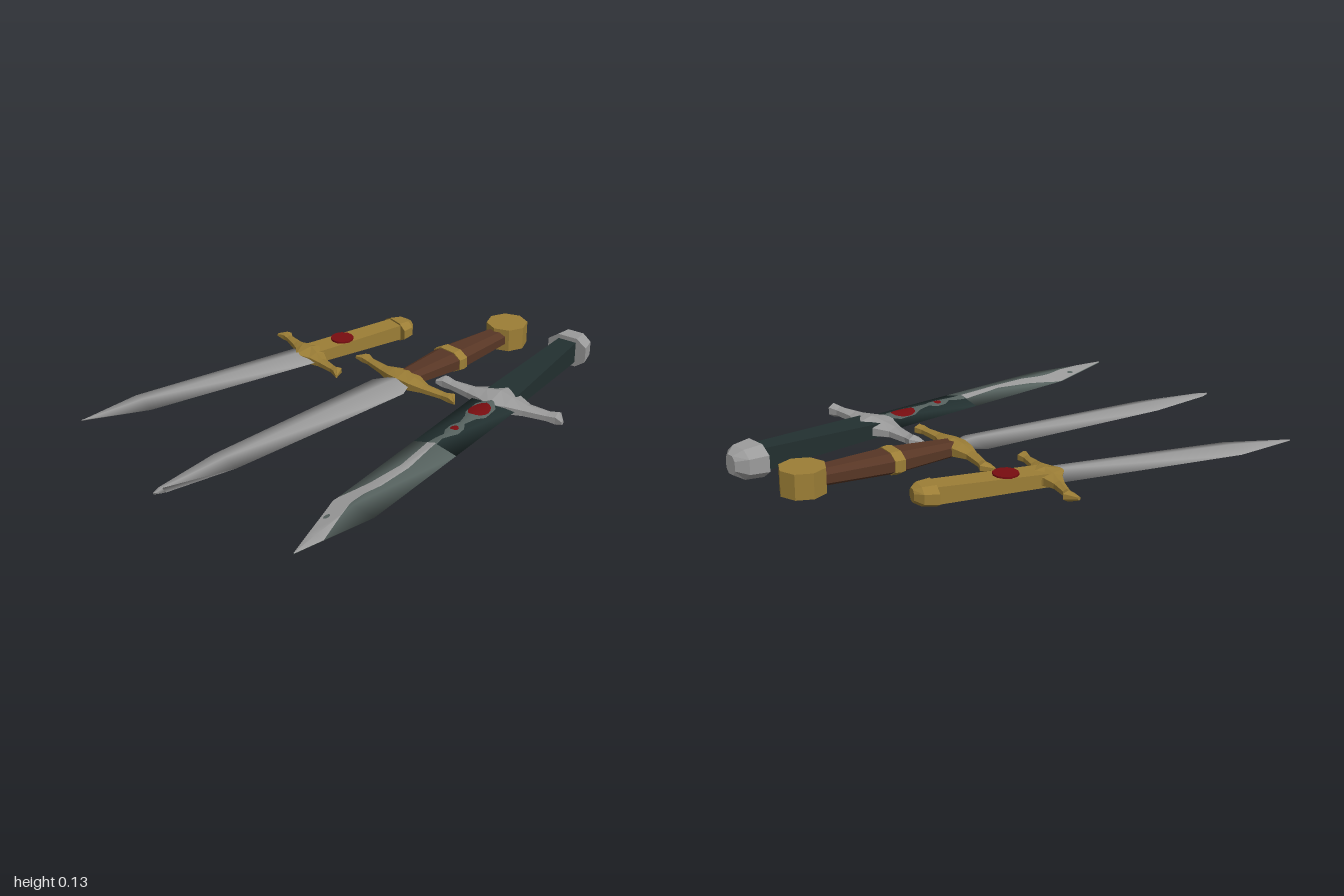
import * as THREE from 'three';

const paint = (name, color) => {
  const m = new THREE.MeshStandardMaterial({ color });
  m.name = name;
  return m;
};

// Cross-sections, counter-clockwise in x/y
const diamond = (w, h) => [[w, 0], [0, h], [-w, 0], [0, -h]];
const box = (w, h) => [[w, -h], [w, h], [-w, h], [-w, -h]];
const octagon = (w, h) => [[w, -h * .5], [w, h * .5], [w * .5, h], [-w * .5, h],
  [-w, h * .5], [-w, -h * .5], [-w * .5, -h], [w * .5, -h]];
const ridged = (x0, x1, h) => [[x1, -h * .5], [x1, h * .5], [(x0 + x1) / 2, h],
  [x0, h * .5], [x0, -h * .5], [(x0 + x1) / 2, -h]];

// Skin a row of cross-sections [z, points] along z and cap both ends
function loft(rings, smooth = false) {
  const n = rings[0][1].length, pos = [], idx = [];
  for (const [z, pts] of rings) for (const [x, y] of pts) pos.push(x, y, z);
  for (let i = 0; i < rings.length - 1; i++) {
    for (let j = 0; j < n; j++) {
      const a = i * n + j, b = i * n + (j + 1) % n;
      idx.push(a, b, b + n, a, b + n, a + n);
    }
  }
  for (const end of [0, rings.length - 1]) {
    const base = pos.length / 3, [z, pts] = rings[end];
    for (const [x, y] of pts) pos.push(x, y, z);
    for (let j = 1; j < n - 1; j++) {
      if (end) idx.push(base, base + j, base + j + 1);
      else idx.push(base, base + j + 1, base + j);
    }
  }
  let g = new THREE.BufferGeometry();
  g.setAttribute('position', new THREE.Float32BufferAttribute(pos, 3));
  g.setIndex(idx);
  if (!smooth) g = g.toNonIndexed();
  g.computeVertexNormals();
  return g;
}

// Loft from stations [z, halfWidth, halfHeight]
const bar = (stations, section, smooth) =>
  loft(stations.map(([z, w, h]) => [z, section(w, h)]), smooth);

// Guard from one arm's stations [distance, bladeSide, gripSide, halfHeight], mirrored
function guardGeometry(half) {
  const arm = [...half.map(([d, ...r]) => [-d, ...r]), ...half.slice(0, -1).reverse()];
  return loft(arm.map(([d, f, b, h]) => [d, ridged(-f, -b, h)])).rotateY(Math.PI / 2);
}

// Thin painted patch following a diamond blade; stations are [z, left, right]
function patchGeometry(profile, stations, lift) {
  const height = (x, z) => {
    let i = 0;
    while (i < profile.length - 2 && z > profile[i + 1][0]) i++;
    const [z0, w0, h0] = profile[i], [z1, w1, h1] = profile[i + 1];
    const t = (z - z0) / (z1 - z0);
    const w = w0 + (w1 - w0) * t, h = h0 + (h1 - h0) * t;
    return h * Math.max(0, 1 - Math.abs(x) / w) + lift;
  };
  const pos = [], idx = [];
  stations.forEach(([z, l, r], i) => {
    for (const x of [l, Math.min(r, Math.max(l, 0)), r]) pos.push(x, height(x, z), z);
    if (!i) return;
    for (const a of [i * 3 - 3, i * 3 - 2]) idx.push(a, a + 3, a + 1, a + 1, a + 3, a + 4);
  });
  const g = new THREE.BufferGeometry();
  g.setAttribute('position', new THREE.Float32BufferAttribute(pos, 3));
  g.setIndex(idx);
  g.computeVertexNormals();
  return g;
}

const ellipse = (z, x, rz, rx) => Array.from({ length: 9 }, (_, i) => {
  const a = Math.PI * i / 8, w = Math.max(.0005, rx * Math.sin(a));
  return [z - rz * Math.cos(a), x - w, x + w];
});

export function createModel() {
  const gold = paint('gold', 0x9c7e36), silver = paint('silver', 0x9b9b9b);
  const leather = paint('brown leather', 0x573625), red = paint('red gem', 0x780d10);
  const dark = paint('dark teal', 0x223030), teal = paint('grey teal', 0x56625f);

  const model = new THREE.Group();
  model.name = 'threeSwords';

  // Each sword: origin at the guard, blade along +z, lying slightly nose down
  const sword = (name, x, z, turn) => {
    const g = new THREE.Group();
    g.name = name;
    g.position.set(x, .055, z);
    g.rotation.set(.02, turn, 0, 'YXZ');
    model.add(g);
    return (part, geometry, material) => {
      const m = new THREE.Mesh(geometry, material);
      m.name = part;
      g.add(m);
      return m;
    };
  };

  // Short gold sword
  const a = sword('shortSword', -.27, -.41, -.6146);
  a('blade', bar([[0, .085, .022], [.798, .074, .017], [1.066, .002, .003]], diamond, true), silver);
  a('guard', guardGeometry([[.242, .03, .02, .008], [.208, .02, -.022, .022], [.18, .018, -.01, .016],
    [.105, .03, -.012, .02], [.055, .045, -.03, .03], [0, .08, -.08, .036]]), gold);
  a('handle', bar([[-.45, .043, .034], [0, .05, .026]], box), gold);
  a('pommel', bar([[-.515, .025, .025], [-.488, .06, .037], [-.435, .076, .041]], octagon), gold);
  const disc = a('handleGem', new THREE.CylinderGeometry(.05, .05, .008, 12), red);
  disc.position.set(0, .032, -.157);

  // Long sword with leather grip
  const b = sword('leatherGripSword', .185, -.34, -.432);
  b('blade', bar([[.02, .048, .018], [.1, .09, .022], [.956, .071, .017], [1.247, .024, .008],
    [1.285, .006, .003]], diamond, true), silver);
  b('guard', guardGeometry([[.287, .012, .004, .008], [.25, .01, -.036, .022], [.215, .012, -.022, .016],
    [.12, .03, -.016, .02], [.06, .045, -.035, .032], [0, .05, -.055, .038]]), gold);
  b('handle', bar([[-.58, .05, .034], [-.275, .074, .042], [0, .045, .03]], octagon), leather);
  b('handleBand', bar([[-.297, .076, .045], [-.275, .08, .047], [-.253, .076, .045]], octagon), gold);
  const knob = b('pommel', new THREE.CylinderGeometry(.09, .09, .1, 8).toNonIndexed(), gold);
  knob.geometry.computeVertexNormals();
  knob.position.z = -.638;
  knob.rotation.y = Math.PI / 8 + .432;

  // Broad dark sword
  const c = sword('darkSword', .6, -.295, -.2533);
  const profile = [[0, .1, .026], [.98, .091, .02], [1.317, .002, .003]];
  const split = [.46, .0958, .0232];
  c('upperBlade', bar([profile[0], split], diamond, true), dark);
  c('lowerBlade', bar([split, profile[1], profile[2]], diamond, true), teal);
  c('guard', guardGeometry([[.295, .01, -.004, .01], [.264, .008, -.042, .03], [.225, .012, -.032, .022],
    [.13, .03, -.035, .024], [.06, .05, -.07, .034], [0, .08, -.118, .042]]), silver);
  c('handle', bar([[-.6, .04, .048], [0, .068, .027]], box), dark);
  c('pommel', bar([[-.682, .03, .038], [-.645, .073, .06], [-.568, .09, .066]], octagon), silver);

  // Painted details on the dark blade
  const onBlade = (part, stations, material, lift = .002) =>
    c(part, patchGeometry(profile, stations, lift), material);
  onBlade('gemSetting', [[.05, -.02, .012], [.09, -.05, .042], [.17, -.046, .046], [.21, -.025, .024],
    [.27, -.012, .012], [.3, -.032, .028], [.345, -.03, .03], [.38, -.012, .016], [.42, -.026, .004],
    [.462, -.032, .008]], teal);
  onBlade('largeGem', ellipse(.137, -.004, .055, .042), red, .004);
  onBlade('smallGem', ellipse(.322, -.002, .017, .017), red, .004);
  onBlade('backGem', ellipse(.16, 0, .03, .025), red, .004).rotation.z = Math.PI;
  onBlade('silverStreak', [[.46, -.034, .004], [.5, -.03, .006], [.66, -.018, .018], [.82, -.045, .008],
    [.9, -.07, -.012], [.95, -.088, -.016], [.98, -.091, -.015], [1.06, -.069, .004],
    [1.196, -.034, .034], [1.317, -.002, .002]], silver);
  onBlade('tipSpot', ellipse(1.083, -.04, .016, .01), teal, .004);

  return model;
}
